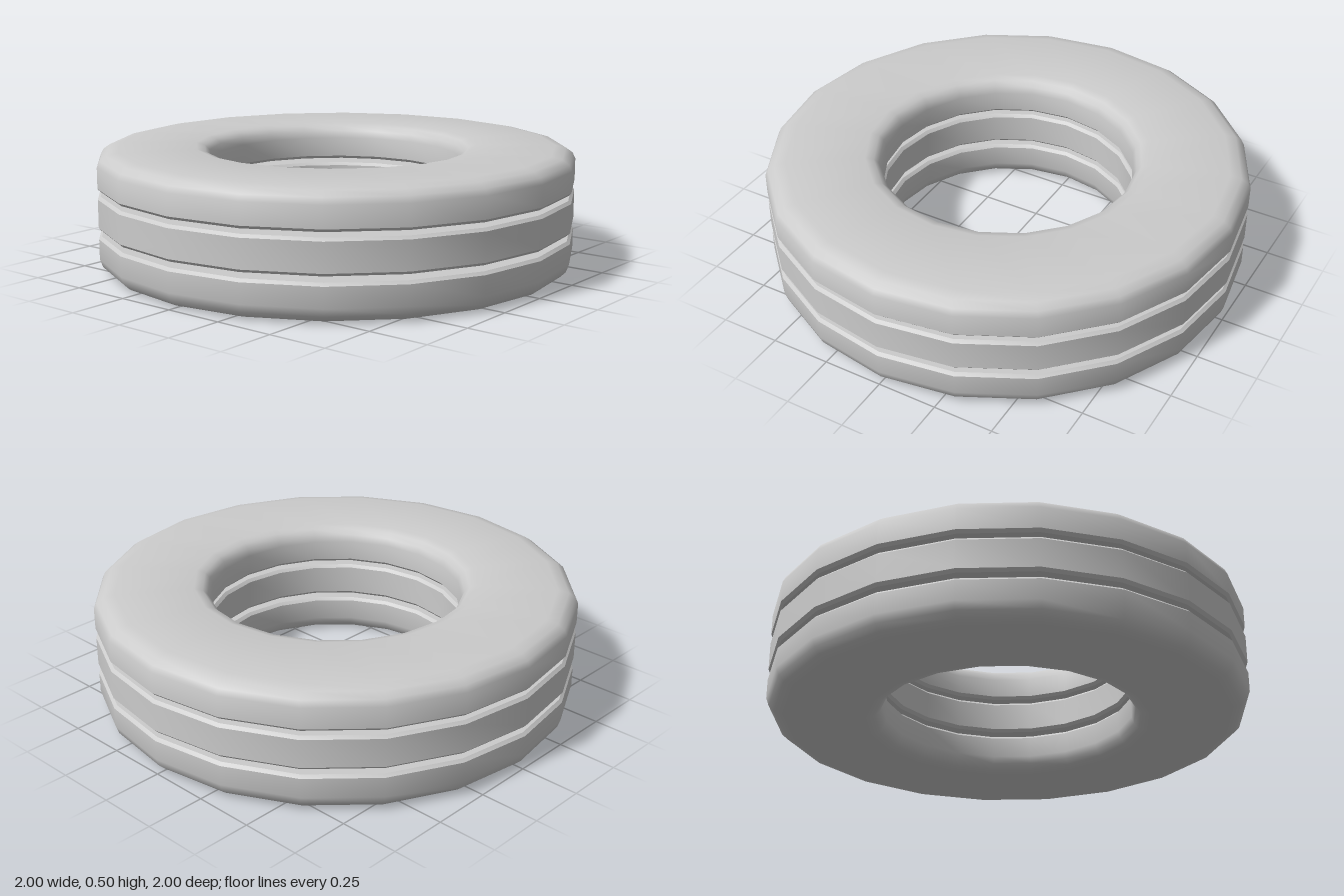
import * as THREE from 'three';
import { toCreasedNormals } from 'three/addons/utils/BufferGeometryUtils.js';

const OUTER = 1, INNER = 0.525, HEIGHT = 0.5;
const SIDES = 20;
const GROOVES = [[0.16, 0.183], [0.325, 0.345]]; // bottom and top of each slot
const BEVEL = 0.012;

// Slot cut into a wall at radius r down to radius floor, listed upwards
function groove(r, floor, [y0, y1]) {
  const lip = r + Math.sign(floor - r) * BEVEL;
  return [[r, y0 - BEVEL], [lip, y0], [floor, y0], [floor, y1], [lip, y1], [r, y1 + BEVEL]];
}

export function createModel() {
  const group = new THREE.Group();

  // Outer wall upwards: rounded foot, two slots, rounded shoulder
  const outerWall = [
    [0.93, 0], [0.965, 0.01], [0.988, 0.032], [OUTER, 0.065],
    ...GROOVES.flatMap((g) => groove(OUTER, 0.775, g)),
    [OUTER, HEIGHT - 0.055], [0.988, HEIGHT - 0.03], [0.96, HEIGHT - 0.01], [0.915, HEIGHT],
  ];

  // Wall of the hole, with matching slots and softened rims
  const innerWall = [
    [0.59, 0], [0.555, 0.01], [0.535, 0.03], [INNER, 0.06],
    ...GROOVES.flatMap((g) => groove(INNER, 0.75, g)),
    [INNER, HEIGHT - 0.06], [0.535, HEIGHT - 0.03], [0.555, HEIGHT - 0.01], [0.59, HEIGHT],
  ].reverse();

  // Closed section turned around the upright axis
  const section = [...outerWall, ...innerWall, outerWall[0]].map(([r, y]) => new THREE.Vector2(r, y));
  const geometry = toCreasedNormals(new THREE.LatheGeometry(section, SIDES), THREE.MathUtils.degToRad(38));

  const ring = new THREE.Mesh(geometry, new THREE.MeshStandardMaterial({ color: 0xcccccc }));
  ring.name = 'groovedRing';
  group.add(ring);
  return group;
}
